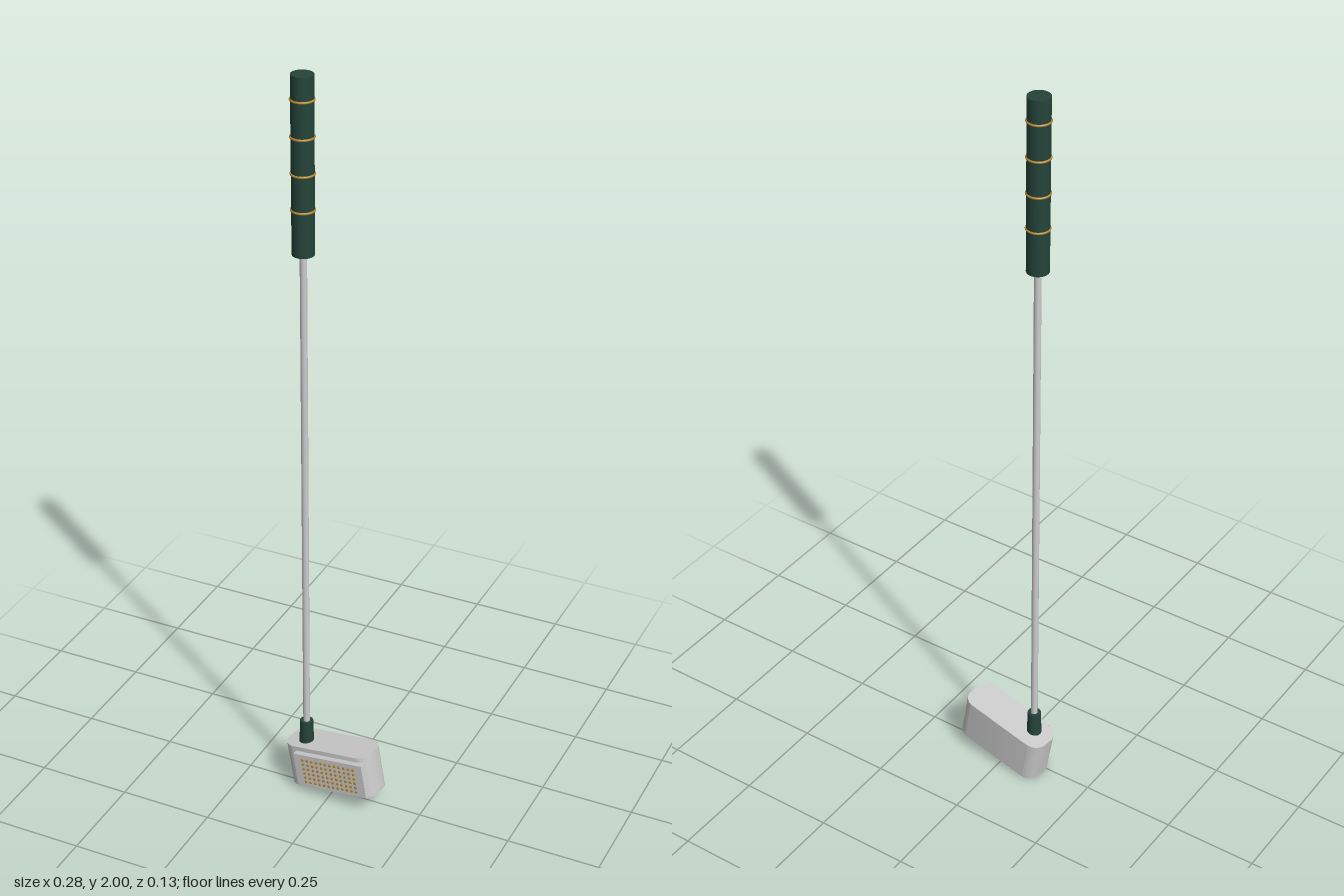
import * as THREE from 'three';
import { toCreasedNormals } from 'three/addons/utils/BufferGeometryUtils.js';

const metal = new THREE.MeshStandardMaterial({ color: 0xcccccc });
const green = new THREE.MeshStandardMaterial({ color: 0x24443a });
const gold = new THREE.MeshStandardMaterial({ color: 0xb8862b });

function add(parent, name, geometry, material, x = 0, y = 0, z = 0) {
  const mesh = new THREE.Mesh(geometry, material);
  mesh.name = name;
  mesh.position.set(x, y, z);
  parent.add(mesh);
  return mesh;
}

// Block with rounded upright corners, centred on the origin
function roundedBlock(w, h, d, r) {
  const x = w / 2 - r, y = d / 2 - r;
  const s = new THREE.Shape();
  s.absarc(x, y, r, 0, Math.PI / 2);
  s.absarc(-x, y, r, Math.PI / 2, Math.PI);
  s.absarc(-x, -y, r, Math.PI, Math.PI * 1.5);
  s.absarc(x, -y, r, Math.PI * 1.5, Math.PI * 2);
  s.closePath();
  const g = new THREE.ExtrudeGeometry(s, { depth: h, bevelEnabled: false, curveSegments: 10 });
  g.translate(0, 0, -h / 2).rotateX(-Math.PI / 2);
  return toCreasedNormals(g, 0.6);
}

export function createModel() {
  const club = new THREE.Group();
  club.name = 'golfClub';

  // Head, tipped up at the toe and turned slightly
  const head = new THREE.Group();
  head.name = 'head';
  head.position.set(0, 0.083, -0.0115);
  head.rotation.set(0, -0.095, 0.172);
  club.add(head);
  const depth = 0.095;
  add(head, 'headBody', roundedBlock(0.26, 0.123, depth, 0.036), metal);

  // Striking plate with rows of raised studs
  const plateThickness = 0.015;
  add(head, 'strikingPlate', new THREE.BoxGeometry(0.21, 0.098, plateThickness + 0.004), metal,
    0.018, 0, depth / 2 + plateThickness / 2 - 0.002);
  const studGeometry = new THREE.CylinderGeometry(0.0035, 0.0035, 0.005, 8).rotateX(Math.PI / 2);
  const rows = 6, columns = 12;
  for (let r = 0; r < rows; r++) {
    for (let c = 0; c < columns; c++) {
      add(head, 'stud', studGeometry, gold,
        0.018 + (c - (columns - 1) / 2) * 0.0142,
        (r - (rows - 1) / 2) * 0.0135,
        depth / 2 + plateThickness + 0.001);
    }
  }

  // Upright parts share one axis above the heel
  const stem = new THREE.Group();
  stem.name = 'stem';
  stem.position.set(-0.086, 0, -0.012);
  club.add(stem);
  add(stem, 'ferrule', new THREE.CylinderGeometry(0.0175, 0.02, 0.085, 24), green, 0, 0.1525, 0);
  add(stem, 'shaft', new THREE.CylinderGeometry(0.009, 0.009, 1.5, 20), metal, 0, 0.9, 0);
  add(stem, 'grip', new THREE.CylinderGeometry(0.028, 0.028, 0.45, 32), green, 0, 1.775, 0);

  // Bands around the grip
  const bandGeometry = new THREE.TorusGeometry(0.028, 0.003, 8, 32).rotateX(Math.PI / 2);
  for (let i = 0; i < 4; i++) add(stem, 'gripBand', bandGeometry, gold, 0, 1.665 + i * 0.0915, 0);

  return club;
}
